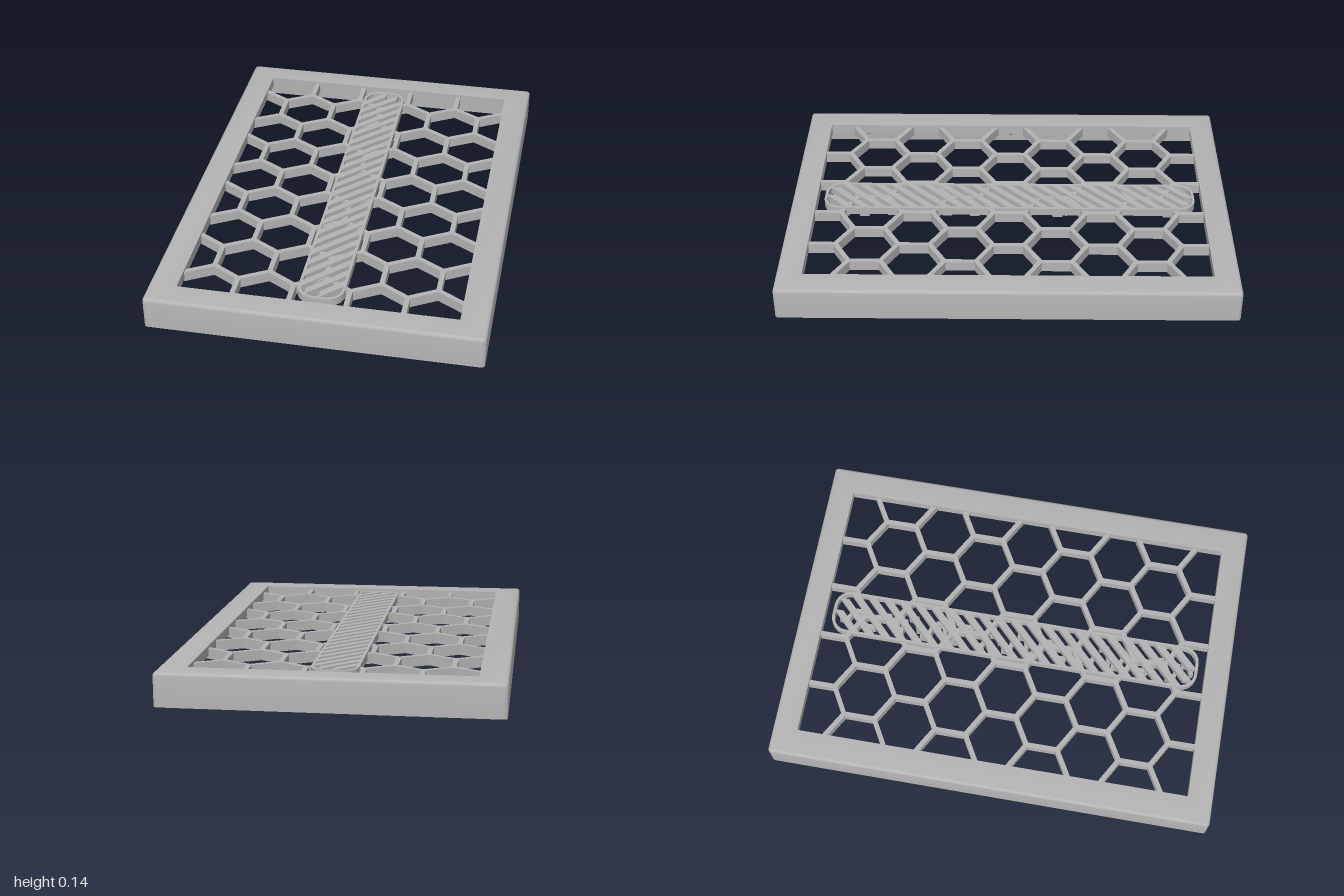
import * as THREE from 'three';
import { toCreasedNormals } from 'three/addons/utils/BufferGeometryUtils.js';

const grey = new THREE.MeshStandardMaterial({ color: 0xb4b4b4 });
grey.name = 'plain grey';

function add(parent, geometry, name, x = 0, y = 0, z = 0) {
  const mesh = new THREE.Mesh(geometry, grey);
  mesh.name = name;
  mesh.position.set(x, y, z);
  parent.add(mesh);
  return mesh;
}

// Points round a rectangle with rounded corners
function roundedLoop(hx, hz, r, steps = 4) {
  const pts = [];
  [[1, 1], [-1, 1], [-1, -1], [1, -1]].forEach(([sx, sz], q) => {
    for (let i = 0; i <= steps; i++) {
      const a = (q + i / steps) * Math.PI / 2;
      pts.push(new THREE.Vector2(sx * (hx - r) + r * Math.cos(a), sz * (hz - r) + r * Math.sin(a)));
    }
  });
  return pts;
}

// Hollow frame: a closed cross-section carried round rounded rectangles
function frameGeometry() {
  const section = [[0.72, 1, 0.016, 0], [0.72, 1, 0.016, 0.131]];
  for (let i = 1; i <= 4; i++) {
    const a = i / 4 * Math.PI / 2, inset = 0.014 * (1 - Math.cos(a));
    section.push([0.72 - inset, 1 - inset, 0.016 - inset, 0.131 + 0.014 * Math.sin(a)]);
  }
  section.push([0.6, 0.888, 0.001, 0.145], [0.6, 0.888, 0.001, 0.1],
    [0.698, 0.978, 0.002, 0.1], [0.698, 0.978, 0.002, 0]);
  const pos = [], index = [];
  const n = 20, m = section.length;
  for (const [hx, hz, r, y] of section) {
    for (const p of roundedLoop(hx, hz, r)) pos.push(p.x, y, p.y);
  }
  for (let j = 0; j < m; j++) {
    for (let i = 0; i < n; i++) {
      const k = (j + 1) % m, i2 = (i + 1) % n;
      const a = j * n + i, b = j * n + i2, c = k * n + i2, d = k * n + i;
      index.push(a, c, b, a, d, c);
    }
  }
  const g = new THREE.BufferGeometry();
  g.setAttribute('position', new THREE.Float32BufferAttribute(pos, 3));
  g.setIndex(index);
  return toCreasedNormals(g, 0.6);
}

// Flat plate raised upwards from a shape drawn with z = -v
function plate(shape, depth) {
  const g = new THREE.ExtrudeGeometry(shape, { depth, bevelEnabled: false });
  return g.rotateX(-Math.PI / 2);
}

// Upright bar between two points on the plan
function bar(parent, x1, z1, x2, z2, width, y0, y1, name) {
  const len = Math.hypot(x2 - x1, z2 - z1);
  const mesh = add(parent, new THREE.BoxGeometry(len, y1 - y0, width), name,
    (x1 + x2) / 2, (y0 + y1) / 2, (z1 + z2) / 2);
  mesh.rotation.y = -Math.atan2(z2 - z1, x2 - x1);
}

function honeycomb() {
  const group = new THREE.Group();
  group.name = 'honeycomb';
  const dx = 0.1215, side = 0.14, pitch = 0.21, w = 0.022, y0 = 0.088, y1 = 0.134;
  for (let row = -4; row <= 4; row++) {
    const z = row * pitch, odd = row % 2 === 0;
    for (let col = -4; col <= 4; col++) {
      if ((Math.abs(col) % 2 === 1) !== odd) continue;
      const x = col * dx;
      const top = Math.max(z - side / 2, -0.892), bottom = Math.min(z + side / 2, 0.892);
      bar(group, x, top, x, bottom, w, y0, y1, 'honeycombUpright');
    }
    // Slanting walls towards the next row
    if (row === 4) continue;
    const low = z + side / 2, high = z + pitch - side / 2;
    for (let col = -5; col < 5; col++) {
      const leftInRow = (Math.abs(col) % 2 === 1) === odd;
      bar(group, col * dx, leftInRow ? low : high, (col + 1) * dx, leftInRow ? high : low,
        w, y0, y1, 'honeycombSlant');
    }
  }
  return group;
}

function centreGrille() {
  const group = new THREE.Group();
  group.name = 'centreGrille';
  const hx = 0.101, hz = 0.854, r = 0.075, y = 0.105, depth = 0.036;

  // Rounded border
  const border = new THREE.Shape(roundedLoop(hx, hz, r, 8));
  border.holes.push(new THREE.Path(roundedLoop(hx - 0.013, hz - 0.013, r - 0.013, 8)));
  add(group, toCreasedNormals(plate(border, depth), 0.6), 'grilleBorder', 0, y, 0);

  // Diagonal slats, trimmed to the border
  const inside = (x, v) => {
    const ex = Math.max(Math.abs(x) - (hx - r), 0), ev = Math.max(Math.abs(v) - (hz - r), 0);
    return Math.hypot(ex, ev) < r - 0.004;
  };
  const half = 0.021;
  for (let c = -0.9; c <= 0.901; c += 0.075) {
    let min = 1, max = -1;
    for (let x = -hx; x <= hx; x += 0.004) {
      if (!inside(x, x + c + half) || !inside(x, x + c - half)) continue;
      min = Math.min(min, x);
      max = Math.max(max, x);
    }
    if (max - min < 0.01) continue;
    const slat = new THREE.Shape([
      new THREE.Vector2(min, min + c - half), new THREE.Vector2(max, max + c - half),
      new THREE.Vector2(max, max + c + half), new THREE.Vector2(min, min + c + half)]);
    add(group, plate(slat, depth), 'grilleSlat', 0, y, 0);
  }

  // Small ribs hanging beneath the slats in a loose zigzag
  let seed = 7;
  const rand = () => (seed = (seed * 16807) % 2147483647) / 2147483647;
  for (let i = 0; i < 26; i++) {
    const z = -0.8 + i * 0.064, s = i % 2 ? 1 : -1;
    const x = s * (0.02 + 0.025 * rand()), drop = 0.045 + 0.02 * rand();
    bar(group, x, z - 0.022, x, z + 0.022, 0.018, drop, 0.106, 'hangingRib');
    bar(group, x, z + 0.015, -x * 0.6, z + 0.03, 0.018, drop, 0.106, 'hangingCrossRib');
  }
  return group;
}

export function createModel() {
  const model = new THREE.Group();
  model.name = 'grillePanel';
  add(model, frameGeometry(), 'frame');
  model.add(honeycomb(), centreGrille());

  // Snap bumps inside the long walls
  for (const s of [-1, 1]) {
    for (const z of [-0.72, 0, 0.72]) {
      const bump = add(model, new THREE.SphereGeometry(0.014, 16, 10), 'snapBump', s * 0.698, 0.045, z);
      bump.scale.x = 0.6;
    }
  }
  return model;
}
